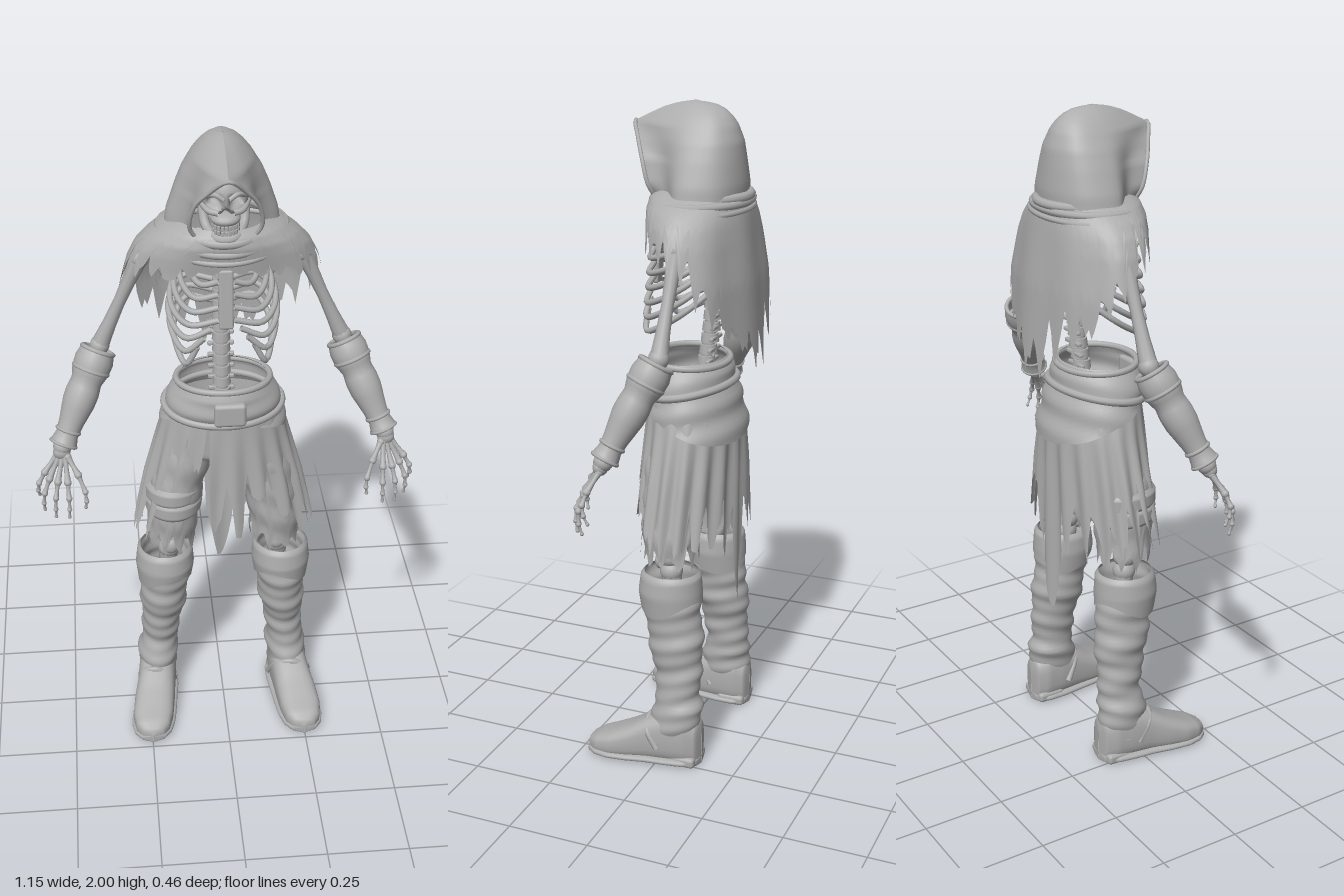
import * as THREE from 'three';
import { RoundedBoxGeometry } from 'three/addons/geometries/RoundedBoxGeometry.js';

const grey = new THREE.MeshStandardMaterial({ color: 0xadadad, side: THREE.DoubleSide });
grey.name = 'stone grey';
const V = (x, y, z) => new THREE.Vector3(x, y, z);
const { sin, cos, PI, abs, max, min, sign } = Math;

// repeatable noise from 0 to 1
const noise = (i) => { const a = sin(i * 127.1 + 3.7) * 43758.5; return a - Math.floor(a); };
// linear reading of keyed rows, first column is the key
function at(rows, k) {
  const up = rows[0][0] < rows[rows.length - 1][0];
  let i = 0;
  while (i < rows.length - 2 && (up ? k > rows[i + 1][0] : k < rows[i + 1][0])) i++;
  const t = min(1, max(0, (k - rows[i][0]) / (rows[i + 1][0] - rows[i][0])));
  return rows[i].map((v, j) => v + (rows[i + 1][j] - v) * t);
}
function add(parent, name, geo, x = 0, y = 0, z = 0) {
  const mesh = new THREE.Mesh(geo, grey);
  mesh.name = name;
  mesh.position.set(x, y, z);
  parent.add(mesh);
  return mesh;
}
// grid surface from f(u, v, column); closed surfaces wrap around in u
function surface(nu, nv, f, closed = true) {
  const pos = [], idx = [], w = closed ? nu : nu + 1;
  for (let j = 0; j <= nv; j++) for (let i = 0; i < w; i++) pos.push(...f(i / nu, j / nv, i).toArray());
  for (let j = 0; j < nv; j++) for (let i = 0; i < nu; i++) {
    const a = j * w + i, b = j * w + (i + 1) % w;
    idx.push(a, a + w, b, b, a + w, b + w);
  }
  const g = new THREE.BufferGeometry();
  g.setAttribute('position', new THREE.Float32BufferAttribute(pos, 3));
  g.setIndex(idx);
  g.computeVertexNormals();
  return g;
}
// upright sleeve of cloth or leather; rows: y, centre x, half width, front z, back z
function sleeve(rows, { n = 40, m = 16, bottom = () => rows[rows.length - 1][0], fold = () => 0 } = {}) {
  return surface(n, m, (u, v, i) => {
    const a = u * PI * 2, y = rows[0][0] + (bottom(a, i) - rows[0][0]) * v;
    const [, cx, rx, zf, zb] = at(rows, y), k = fold(a, y);
    return V(cx + (rx + k) * sin(a), y, (zf + zb) / 2 + ((zf - zb) / 2 + k) * cos(a));
  });
}
// tapering tube along a curve
function limb(points, radii, n = 12, m = 14) {
  const c = new THREE.CatmullRomCurve3(points), fr = c.computeFrenetFrames(m);
  const rows = radii.map((r, i) => [i / (radii.length - 1), r]);
  return surface(n, m, (u, v) => {
    const r = at(rows, v)[1], k = Math.round(v * m);
    return c.getPointAt(v).addScaledVector(fr.normals[k], r * cos(u * PI * 2)).addScaledVector(fr.binormals[k], r * sin(u * PI * 2));
  });
}
const cord = (pts, r, closed = false, seg = 32) => new THREE.TubeGeometry(new THREE.CatmullRomCurve3(pts, closed), seg, r, 8, closed);
function ball(parent, name, p, rx, ry = rx, rz = rx) {
  const m = add(parent, name, new THREE.SphereGeometry(1, 16, 12), p.x, p.y, p.z);
  m.scale.set(rx, ry, rz);
}
function bone(parent, name, a, b, r) {
  add(parent, name, limb([a, a.clone().lerp(b, 0.5), b], [r * 1.3, r, r * 0.85, r, r * 1.3], 10, 8));
  ball(parent, name + 'End', a, r * 1.4);
  ball(parent, name + 'End', b, r * 1.4);
}
// torn hem: long teeth plus a finer fray
const torn = (i, period, depth, seed) => {
  const t = i % period, tooth = Math.floor(i / period);
  return depth * (0.35 + 0.65 * noise(tooth + seed)) * abs(t / period * 2 - 1) + depth * 0.25 * noise(i + seed * 9);
};

function buildHood(g) {
  // rows: y, half width, back z, front z, opening half width
  const rows = [[1.73, 0.163, -0.172, 0.07, 0.08], [1.77, 0.157, -0.174, 0.085, 0.1], [1.84, 0.134, -0.168, 0.108, 0.088],
    [1.89, 0.113, -0.163, 0.135, 0.052], [1.935, 0.086, -0.148, 0.165, 0], [1.96, 0.066, -0.132, 0.115, 0],
    [1.978, 0.047, -0.112, 0.075, 0], [1.992, 0.026, -0.085, 0.03, 0], [2, 0, -0.02, -0.02, 0]];
  const ring = (y) => {
    const [, w, zb, zf, xo] = at(rows, y), zm = -0.03;
    const half = [[xo, zf], [max(xo * 1.04, w * 0.66), zf * 0.55 + zm * 0.45], [w, zm], [w * 0.78, zb * 0.78]];
    const pts = [...half, [0, zb], ...half.slice().reverse().map(([x, z]) => [-x, z])];
    return new THREE.CatmullRomCurve3(pts.map(([x, z]) => V(x, y, z)));
  };
  const curves = Array.from({ length: 31 }, (_, j) => ring(1.73 + 0.27 * (1 - (1 - j / 30) ** 1.4)));
  add(g, 'hood', surface(48, 30, (u, v) => curves[Math.round(v * 30)].getPoint(u), false));
  const edge = rows.slice(0, 5).map(([y, , , z, x]) => V(x, y, z));
  add(g, 'hoodRim', cord([...edge, ...edge.slice(0, 4).reverse().map((p) => V(-p.x, p.y, p.z))], 0.006));
}

function buildSkull(g) {
  const geo = new THREE.SphereGeometry(1, 56, 40), p = geo.attributes.position;
  for (let i = 0; i < p.count; i++) {
    const x = p.getX(i) * 0.072, y = 1.855 + p.getY(i) * 0.085;
    let z = 0.015 + p.getZ(i) * 0.09;
    if (z > 0.03) {
      // eye sockets and nose hole
      z -= 0.045 * Math.exp(-(((abs(x) - 0.03) / 0.018) ** 4) - ((y - 1.845) / 0.017) ** 4);
      z -= 0.03 * Math.exp(-((x / 0.01) ** 2) - ((y - 1.808) / 0.013) ** 2);
    }
    p.setXYZ(i, x, y, z);
  }
  geo.computeVertexNormals();
  add(g, 'skull', geo);
  ball(g, 'upperJaw', V(0, 1.788, 0.07), 0.042, 0.02, 0.038);
  add(g, 'lowerJaw', cord([V(-0.06, 1.81, 0.01), V(-0.053, 1.758, 0.04), V(-0.027, 1.737, 0.086), V(0, 1.733, 0.094),
    V(0.027, 1.737, 0.086), V(0.053, 1.758, 0.04), V(0.06, 1.81, 0.01)], 0.014));
  for (const s of [-1, 1]) {
    add(g, 'cheekbone', cord([V(s * 0.02, 1.812, 0.092), V(s * 0.046, 1.815, 0.08), V(s * 0.068, 1.827, 0.03)], 0.009, false, 12));
    add(g, 'brow', cord([V(s * 0.008, 1.857, 0.106), V(s * 0.03, 1.87, 0.1), V(s * 0.056, 1.857, 0.075)], 0.007, false, 12));
  }
  for (let i = 0; i < 9; i++) for (const y of [1.771, 1.756]) {
    const a = (i - 4) * 0.28;
    add(g, 'tooth', new RoundedBoxGeometry(0.009, 0.014, 0.008, 1, 0.002), 0.038 * sin(a), y, 0.058 + 0.045 * cos(a)).rotation.y = a;
  }
}

function buildTorso(g) {
  for (let i = 0; i < 17; i++) {
    const y = 1.17 + i * 0.035, z = -0.045 - 0.035 * sin((y - 1.17) / 0.6 * PI);
    add(g, 'vertebra', new THREE.CylinderGeometry(0.025, 0.028, 0.026, 12), 0, y, z);
    add(g, 'spineCore', new THREE.CylinderGeometry(0.019, 0.019, 0.036, 10), 0, y + 0.017, z);
    add(g, 'vertebraWing', new RoundedBoxGeometry(0.08, 0.012, 0.014, 1, 0.004), 0, y, z - 0.018);
  }
  add(g, 'sternum', new RoundedBoxGeometry(0.042, 0.18, 0.018, 2, 0.007), 0, 1.55, 0.094).rotation.x = -0.08;
  for (const s of [-1, 1]) {
    // ribs slope down to the front, the lower ones stop short of the middle
    for (let i = 0; i < 7; i++) {
      const y = 1.665 - i * 0.035, w = [0.1, 0.122, 0.138, 0.15, 0.155, 0.152, 0.142][i], far = max(0, i - 3), drop = 0.07 + i * 0.007;
      add(g, 'rib', cord([V(s * 0.02, y, -0.085), V(s * w * 0.7, y + 0.008, -0.1), V(s * w, y - drop * 0.4, -0.04), V(s * w * 0.96, y - drop * 0.8, 0.03),
        V(s * (w * 0.68 + far * 0.006), y - drop, 0.086), V(s * (0.022 + far * 0.02), y - drop * 0.8 + far * 0.012, 0.1 - far * 0.002)], 0.009, false, 28));
    }
    bone(g, 'collarBone', V(s * 0.02, 1.645, 0.075), V(s * 0.22, 1.655, -0.04), 0.012);
    ball(g, 'shoulderBlade', V(s * 0.14, 1.57, -0.135), 0.045, 0.07, 0.01);
  }
}

function buildCape(g) {
  const rows = [[1.755, 0, 0.13, 0.085, -0.165], [1.735, 0, 0.178, 0.102, -0.18], [1.705, 0, 0.218, 0.106, -0.186], [1.67, 0, 0.25, 0.1, -0.191],
    [1.62, 0, 0.274, 0.093, -0.197], [1.5, 0, 0.305, 0.09, -0.212], [1.2, 0, 0.315, 0.09, -0.23]];
  const hem = [[0, 1.625], [0.6, 1.59], [1.2, 1.575], [1.65, 1.54], [2.0, 1.45], [2.5, 1.34], [2.9, 1.26], [PI, 1.2]];
  add(g, 'cape', sleeve(rows, { n: 156, m: 24, bottom: (a, i) => at(hem, min(a, 2 * PI - a))[1] + torn(i, 6, 0.04 + 0.1 * abs(sin(a / 2)), 5),
    fold: (a, y) => 0.003 * sin(a * 9) * min(1, (1.755 - y) * 6) }));
  // draped cowl folds round the neck
  [[0.14, 1.738, 0.018, 0.014], [0.18, 1.722, 0.035, 0.012], [0.205, 1.7, 0.04, 0.009]].forEach(([rx, y, dip, r]) => {
    const pts = Array.from({ length: 24 }, (_, i) => {
      const a = i / 24 * PI * 2;
      return V(rx * sin(a), y - dip * max(0, cos(a)) ** 2, -0.04 + (cos(a) > 0 ? 0.137 : 0.143) * cos(a));
    });
    add(g, 'cowlFold', cord(pts, r, true, 64));
  });
}

function buildArm(g, s) {
  const P = (x, y, z) => V(s * x, y, z), elbow = P(0.36, 1.335, -0.06), wrist = P(0.485, 1.06, 0.055);
  bone(g, 'upperArmBone', P(0.235, 1.615, -0.06), elbow, 0.021);
  bone(g, 'forearmBone', elbow, wrist, 0.02);
  // bracer with rolled cuffs
  const on = (t) => elbow.clone().lerp(wrist, t);
  add(g, 'bracer', limb([on(0.04), on(0.5), on(0.98)], [0.05, 0.058, 0.056, 0.046, 0.05, 0.049, 0.043, 0.037, 0.034, 0.042], 18, 18));
  const dir = wrist.clone().sub(elbow).normalize();
  for (const [t, r, w] of [[0.05, 0.048, 0.007], [0.24, 0.052, 0.007], [0.84, 0.034, 0.006], [0.97, 0.039, 0.005]]) {
    const p = on(t);
    add(g, 'bracerBand', new THREE.TorusGeometry(r, w, 8, 24), p.x, p.y, p.z).quaternion.setFromUnitVectors(V(0, 0, 1), dir);
  }
  // hand bones fanned from the wrist
  ball(g, 'wristBones', P(0.488, 1.045, 0.062), 0.026, 0.024, 0.022);
  [[0.562, 0.9, 0.07], [0.548, 0.862, 0.095], [0.515, 0.855, 0.125], [0.475, 0.86, 0.138], [0.425, 0.89, 0.135]].forEach(([x, y, z], i) => {
    const thumb = i === 4, a = P(0.503 - i * 0.008, 1.035, 0.06 + i * 0.004), tip = P(x, y, z);
    const along = (t, k) => a.clone().lerp(tip, t).add(P((x - 0.49) * 0.25 * k, 0.01 * k, 0.02 * k));
    const j = [a, along(thumb ? 0.35 : 0.42, 0.8), along(0.68, 1), along(0.87, 0.6), tip];
    for (let k = 0; k < 4; k++) bone(g, 'fingerBone', j[k], j[k + 1], 0.0082 - k * 0.0014);
  });
}

function buildWaist(g) {
  const belt = [[1.25, 0, 0.135, 0.105, -0.115], [1.22, 0, 0.155, 0.125, -0.132], [1.17, 0, 0.174, 0.122, -0.142], [1.13, 0, 0.183, 0.112, -0.155], [1.0, 0, 0.212, 0.12, -0.185]];
  add(g, 'sash', sleeve(belt, { n: 60, bottom: (a) => 1.13 - 0.115 * (0.5 - 0.5 * cos(a)) ** 1.2 - 0.02 * sin(a), fold: (a, y) => 0.004 * sin(y * 75 + 2 * cos(a)) }));
  const hoop = (y, r, tilt) => cord(Array.from({ length: 24 }, (_, i) => {
    const a = i / 24 * PI * 2, yy = y + tilt * cos(a), [, , rx, zf, zb] = at(belt, yy);
    return V(rx * sin(a), yy, (zf + zb) / 2 + (zf - zb) / 2 * cos(a));
  }), r, true, 64);
  add(g, 'sashRim', hoop(1.243, 0.01, 0.006));
  add(g, 'sashRoll', hoop(1.16, 0.012, -0.02));
  add(g, 'knot', new RoundedBoxGeometry(0.095, 0.075, 0.03, 3, 0.012), 0.01, 1.185, 0.122);
  add(g, 'trouserSeat', sleeve([[1.16, 0, 0.165, 0.1, -0.13], [1.0, 0, 0.165, 0.085, -0.12], [0.96, 0, 0.06, 0.04, -0.06]]));
  // ragged skirt, open over the right thigh, long at the middle of the back
  const skirt = [[1.15, 0, 0.175, 0.11, -0.145], [1.05, 0, 0.2, 0.115, -0.165], [0.9, 0, 0.238, 0.122, -0.165], [0.7, 0, 0.282, 0.135, -0.165], [0.4, 0, 0.29, 0.14, -0.165]];
  const hem = [[0, 0.66], [0.25, 0.7], [0.45, 0.8], [0.9, 0.68], [1.6, 0.66], [2.5, 0.64], [2.95, 0.6], [3.06, 0.46], [3.15, 0.43], [3.3, 0.62], [4.4, 0.66], [5.3, 0.66], [5.5, 0.88], [6.0, 0.95], [6.1, 0.75], [6.283, 0.66]];
  add(g, 'skirt', sleeve(skirt, { n: 189, m: 24, bottom: (a, i) => at(hem, a)[1] + torn(i, 9, abs(a - PI) < 0.18 ? 0.05 : 0.25, 2),
    fold: (a, y) => 0.008 * sin(a * 17) * min(1, (1.15 - y) * 4) }));
}

function buildLeg(g, s) {
  const trousers = [[1.08, s * 0.085, 0.085, 0.085, -0.11], [0.9, s * 0.14, 0.085, 0.085, -0.105], [0.75, s * 0.16, 0.078, 0.08, -0.1], [0.62, s * 0.165, 0.075, 0.065, -0.09]];
  add(g, 'trouserLeg', sleeve(trousers, { n: 60, bottom: (a, i) => 0.63 + torn(i, 6, 0.09, s + 4), fold: (a, y) => 0.004 * sin(y * 60 + 2 * sin(a)) }));
  if (s < 0) for (const y of [0.81, 0.86]) add(g, 'thighWrap', sleeve([[y + 0.03, -0.152, 0.08, 0.085, -0.105], [y + 0.015, -0.154, 0.09, 0.093, -0.112], [y - 0.02, -0.156, 0.088, 0.092, -0.111], [y - 0.03, -0.157, 0.08, 0.085, -0.104]]));
  bone(g, 'thighBone', V(s * 0.14, 0.95, -0.01), V(s * 0.168, 0.66, -0.01), 0.026);
  bone(g, 'shinBone', V(s * 0.172, 0.615, -0.015), V(s * 0.2, 0.25, -0.05), 0.025);
  ball(g, 'kneecap', V(s * 0.168, 0.642, 0.022), 0.024, 0.027, 0.016);
  // wrinkled boot shaft with a folded cuff
  const sided = (rows) => rows.map(([y, x, ...r]) => [y, s * x, ...r]);
  const shaft = sided([[0.61, 0.185, 0.078, 0.062, -0.105], [0.5, 0.187, 0.076, 0.06, -0.113], [0.4, 0.193, 0.073, 0.048, -0.125], [0.3, 0.202, 0.06, 0.023, -0.123], [0.23, 0.208, 0.057, 0.015, -0.12],
    [0.19, 0.212, 0.067, 0.024, -0.13], [0.165, 0.216, 0.062, 0.03, -0.126], [0.08, 0.22, 0.058, 0.04, -0.12]]);
  add(g, 'bootShaft', sleeve(shaft, { m: 48, fold: (a, y) => 0.003 * sin(y * 52 + 1.5 * sin(a + s)) + 0.0025 * sin(y * 115 + 2 * cos(a)) }));
  const cuff = sided([[0.625, 0.185, 0.078, 0.062, -0.102], [0.612, 0.185, 0.088, 0.073, -0.113], [0.56, 0.186, 0.093, 0.08, -0.117], [0.48, 0.188, 0.083, 0.068, -0.118]]);
  add(g, 'bootCuff', sleeve(cuff, { bottom: (a) => 0.515 + 0.025 * cos(a * 2 + s * 0.8) }));
  // shoe and sole; rows: z, centre x, half width, height
  const foot = [[-0.132, 0.212, 0.001, 0.1], [-0.125, 0.212, 0.038, 0.14], [-0.09, 0.214, 0.056, 0.165], [-0.03, 0.219, 0.062, 0.17], [0.03, 0.226, 0.062, 0.148],
    [0.09, 0.236, 0.066, 0.112], [0.15, 0.244, 0.066, 0.084], [0.195, 0.247, 0.055, 0.066], [0.222, 0.248, 0.034, 0.05], [0.23, 0.248, 0.001, 0.03]];
  const loft = (grow, height) => surface(28, 40, (u, v) => {
    const [z, x, w, h] = at(foot, -0.132 + 0.362 * (0.5 - 0.5 * cos(v * PI))), a = u * PI * 2, c = cos(a), b = sin(a), hh = (height || h) / 2;
    return V(s * x + (w + (w > 0.01 ? grow : 0)) * sign(c) * abs(c) ** 0.7, hh + hh * sign(b) * abs(b) ** 0.7, z);
  });
  add(g, 'shoe', loft(0, 0));
  add(g, 'sole', loft(0.006, 0.026));
  add(g, 'heel', new RoundedBoxGeometry(0.11, 0.034, 0.09, 2, 0.012), s * 0.214, 0.017, -0.08);
  add(g, 'instepStrap', cord([V(s * 0.215 - 0.06, 0.06, -0.02), V(s * 0.225 - 0.045, 0.125, 0.02), V(s * 0.228, 0.142, 0.035), V(s * 0.23 + 0.045, 0.115, 0.025), V(s * 0.225 + 0.06, 0.06, -0.01)], 0.01));
}

export function createModel() {
  const model = new THREE.Group();
  model.name = 'hoodedSkeleton';
  const part = (name, build, ...args) => {
    const g = new THREE.Group();
    g.name = name;
    build(g, ...args);
    model.add(g);
  };
  part('hoodGroup', buildHood);
  part('skullGroup', buildSkull);
  part('torso', buildTorso);
  part('capeGroup', buildCape);
  part('waist', buildWaist);
  for (const [side, s] of [['left', 1], ['right', -1]]) {
    part(side + 'Arm', buildArm, s);
    part(side + 'Leg', buildLeg, s);
  }
  return model;
}
